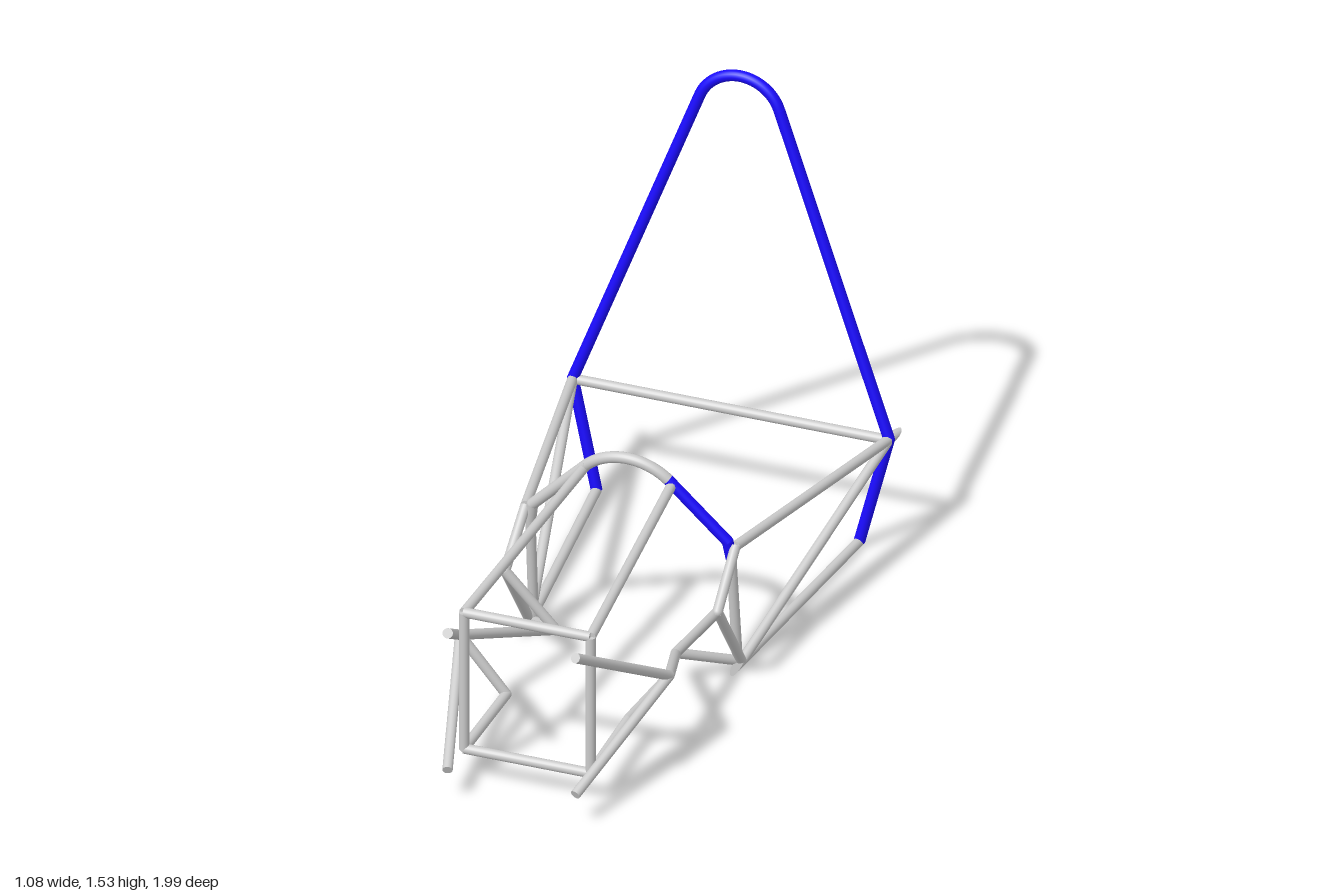
import * as THREE from 'three';

const grey = new THREE.MeshStandardMaterial({ color: 0xcccccc });
const blue = new THREE.MeshStandardMaterial({ color: 0x1a0aff });
const R = 0.016, HOOP_R = 0.018;
const UP = new THREE.Vector3(0, 1, 0);
const vec = (p) => new THREE.Vector3(...p);
const flip = ([x, y, z]) => [-x, y, z];

export function createModel() {
  const model = new THREE.Group();
  model.name = 'tubeFrame';

  const add = (name, geometry, material) => {
    const mesh = new THREE.Mesh(geometry, material);
    mesh.name = name;
    model.add(mesh);
    return mesh;
  };

  // Straight tube between two points; mitre cuts the far end obliquely
  const tube = (name, a, b, material = grey, r = R, mitre = 0) => {
    const p = vec(a), q = vec(b), dir = q.clone().sub(p);
    const geometry = new THREE.CylinderGeometry(r, r, dir.length(), 20);
    const pos = geometry.attributes.position;
    for (let i = 0; i < pos.count; i++) {
      if (pos.getY(i) > 0) pos.setY(i, pos.getY(i) + mitre * pos.getZ(i) / r);
    }
    const mesh = add(name, geometry, material);
    mesh.position.copy(p).lerp(q, 0.5);
    mesh.quaternion.setFromUnitVectors(UP, dir.normalize());
  };

  const pair = (name, a, b, material = grey, r = R, mitre = 0) => {
    tube(name + 'Left', a, b, material, r, mitre);
    tube(name + 'Right', flip(a), flip(b), material, r, mitre);
  };

  // Rounded knuckle where tubes bend or meet
  const knuckle = (name, p, material, r) =>
    add(name, new THREE.SphereGeometry(r, 20, 12), material).position.copy(vec(p));

  // Circular bend over the top of a hoop, leaning with height
  const crown = (name, topY, radius, halfAngle, lean, material, r) => {
    const points = [];
    for (let i = 0; i <= 16; i++) {
      const t = halfAngle * (i / 8 - 1);
      const y = topY - radius * (1 - Math.cos(t));
      points.push(new THREE.Vector3(radius * Math.sin(t), y, lean(y)));
    }
    add(name, new THREE.TubeGeometry(new THREE.CatmullRomCurve3(points), 48, r, 20), material);
    const end = points[16];
    return [end.x, end.y, end.z];
  };

  // Main roll hoop
  const mainLean = (y) => -0.873 - 0.07 * y;
  const mainEnd = crown('mainHoopCrown', 1.518, 0.138, 1.22, mainLean, blue, HOOP_R);
  const shoulder = [0.515, 0.383, mainLean(0.383)];
  const mainFoot = [0.428, 0.018, mainLean(0.018)];
  pair('mainHoopUpper', shoulder, mainEnd, blue, HOOP_R);
  pair('mainHoopLower', mainFoot, shoulder, blue, HOOP_R);
  for (const p of [shoulder, flip(shoulder)]) knuckle('mainHoopBend', p, blue, HOOP_R);
  const barEnd = [0.515, 0.38, -0.9];
  tube('rearCrossbar', flip(barEnd), barEnd);

  // Front hoop: the left upper leg is blue
  const frontLean = (y) => -0.082 + 0.108 * y;
  const frontEnd = crown('frontHoopCrown', 0.706, 0.194, 0.745, frontLean, grey, HOOP_R);
  const elbow = [0.318, 0.463, frontLean(0.463)];
  const wrist = [0.327, 0.405, frontLean(0.405)];
  const frontFoot = [0.332, 0.018, frontLean(0.018)];
  for (const [side, m, material] of [['Left', (p) => p, blue], ['Right', flip, grey]]) {
    tube('frontHoopUpper' + side, m(frontEnd), m(elbow), material, HOOP_R);
    tube('frontHoopElbow' + side, m(elbow), m(wrist), material, HOOP_R);
    knuckle('frontHoopBend' + side, m(elbow), material, HOOP_R);
  }
  pair('frontHoopLeg', wrist, frontFoot);

  // Cockpit sides: upper rail, diagonal, floor rail
  const railFront = [0.342, 0.45, -0.035];
  const floorNode = [0.345, 0.018, -0.08];
  pair('cockpitRail', railFront, [0.519, 0.381, -0.92], grey, R, 0.04);
  pair('cockpitDiagonal', floorNode, shoulder);
  pair('floorRail', mainFoot, [0.341, 0.018, -0.05], grey, R, 0.04);

  // Front hoop braces
  const braceKnee = [0.346, 0.31, 0.13];
  const lowerNode = [0.195, 0.11, 0.09];
  pair('hoopBraceUpper', railFront, braceKnee);
  pair('hoopBraceLower', braceKnee, floorNode);
  pair('hoopBraceInner', braceKnee, lowerNode);
  for (const p of [braceKnee, flip(braceKnee)]) knuckle('braceJoint', p, grey, R);

  // Nose box: bulkhead and rails
  const noseTop = [0.206, 0.595, 0.852], noseBottom = [0.206, 0.112, 0.852];
  tube('noseTopBar', flip(noseTop), noseTop);
  tube('noseBottomBar', flip(noseBottom), noseBottom);
  pair('nosePost', noseBottom, noseTop);
  pair('noseUpperRail', noseTop, [0.143, 0.638, frontLean(0.638)]);
  const lowerRailEnd = [0.2, 0.112, 0.505];
  pair('noseLowerRail', noseBottom, lowerRailEnd);

  // Side struts meeting at the outer node
  const outerNode = [0.341, 0.307, 0.53];
  pair('upperNoseStrut', outerNode, [0.208, 0.596, 0.988]);
  pair('lowerNoseStrut', outerNode, [0.208, 0.112, 0.99]);
  pair('nodeSupport', outerNode, lowerRailEnd);
  pair('sideStrut', outerNode, lowerNode);
  pair('footStrut', lowerNode, frontFoot);
  for (const p of [outerNode, lowerNode, lowerRailEnd]) {
    knuckle('strutJointLeft', p, grey, R);
    knuckle('strutJointRight', flip(p), grey, R);
  }

  return model;
}
